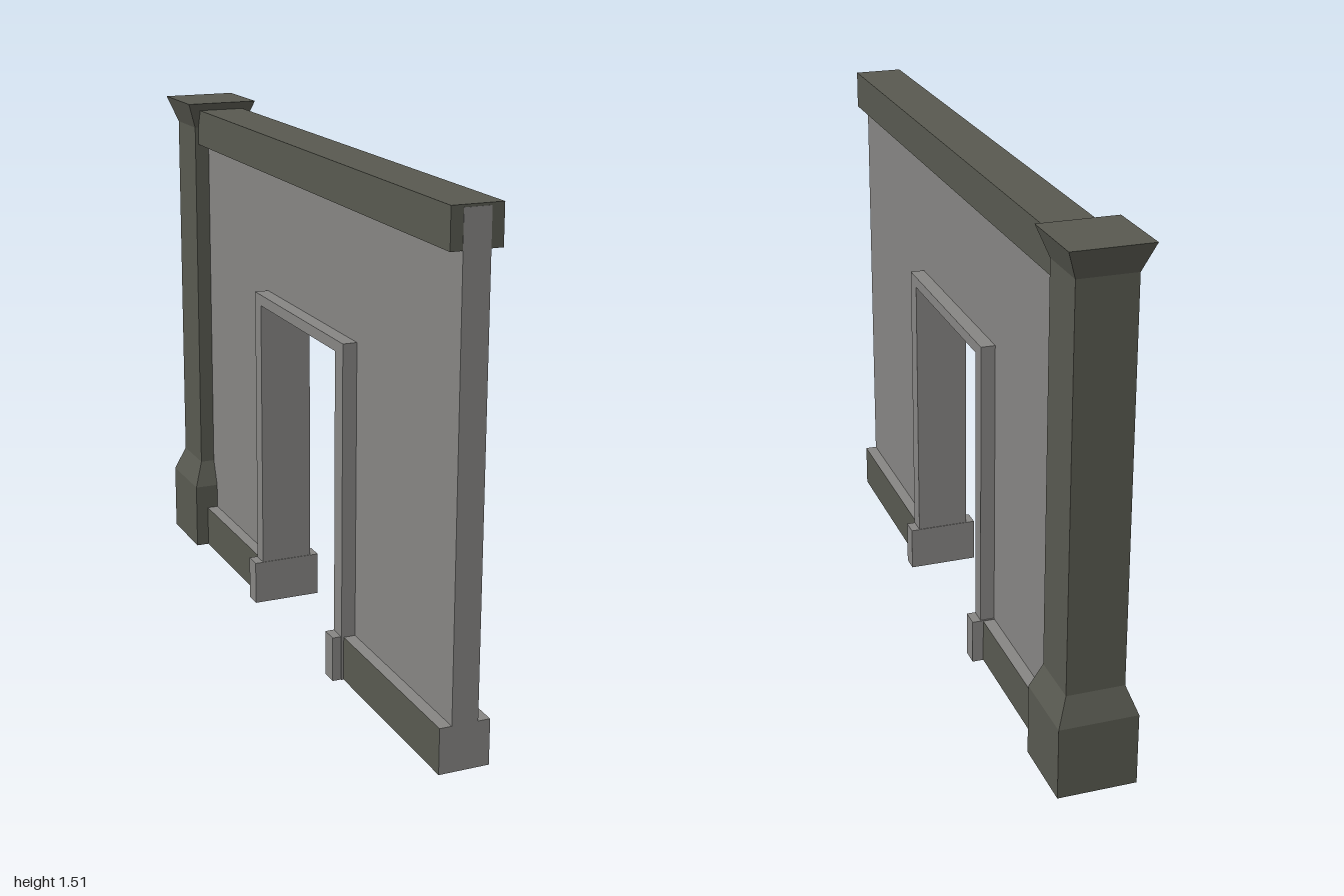
import * as THREE from 'three';

export function createModel() {
  const group = new THREE.Group();
  const light = new THREE.MeshStandardMaterial({ color: 0x868583 });
  light.name = 'light stone';
  const dark = new THREE.MeshStandardMaterial({ color: 0x585950 });
  dark.name = 'dark stone';

  function add(name, geometry, material) {
    const mesh = new THREE.Mesh(geometry, material);
    mesh.name = name;
    group.add(mesh);
    return mesh;
  }

  // Box spanning +-halfX, y0..y1 and z0..z1
  function slab(name, halfX, y0, y1, z0, z1, material) {
    const geometry = new THREE.BoxGeometry(2 * halfX, y1 - y0, z1 - z0);
    geometry.translate(0, (y0 + y1) / 2, (z0 + z1) / 2);
    return add(name, geometry, material);
  }

  // Doorway profile in (z, y), extruded across x
  function portal(name, halfX, z0, z1, top, innerZ0, innerZ1, innerTop, material) {
    const points = [[z0, 0], [innerZ0, 0], [innerZ0, innerTop], [innerZ1, innerTop],
      [innerZ1, 0], [z1, 0], [z1, top], [z0, top]];
    const shape = new THREE.Shape(points.map(([z, y]) => new THREE.Vector2(z, y)));
    const geometry = new THREE.ExtrudeGeometry(shape, { depth: 2 * halfX, bevelEnabled: false });
    geometry.translate(0, 0, -halfX);
    geometry.rotateY(-Math.PI / 2);
    return add(name, geometry, material);
  }

  // Wall with door opening, and the raised frame around it
  portal('wall', 0.038, -0.9, 1, 1.48, -0.26, 0.36, 0.98, light);
  portal('doorFrame', 0.08, -0.28, 0.388, 1, -0.232, 0.334, 0.967, light);

  // Top rail, set back a hair so the wall end stays visible
  slab('topRail', 0.072, 1.375, 1.487, -0.9, 0.999, dark);

  // Skirting: dark on its long sides, light on top and ends
  const skirting = [dark, dark, light, light, light, light];
  slab('frontSkirting', 0.073, 0, 0.132, 0.36, 1, skirting);
  slab('backSkirting', 0.073, 0, 0.132, -0.9, -0.26, skirting);

  // Plinth blocks at the foot of the door frame
  slab('frontPlinth', 0.106, 0, 0.134, 0.332, 0.385, light);
  slab('backPlinth', 0.106, 0, 0.134, -0.284, -0.23, light);

  // Square pillar with flared base and capital
  const profile = [[0, 0], [0.113, 0], [0.113, 0.21], [0.083, 0.29],
    [0.083, 1.43], [0.113, 1.51], [0, 1.51]];
  const pillar = new THREE.LatheGeometry(
    profile.map(([r, y]) => new THREE.Vector2(r * Math.SQRT2, y)), 4, Math.PI / 4);
  const flat = pillar.toNonIndexed();
  flat.computeVertexNormals();
  flat.translate(0, 0, -0.887);
  add('pillar', flat, dark);

  return group;
}
